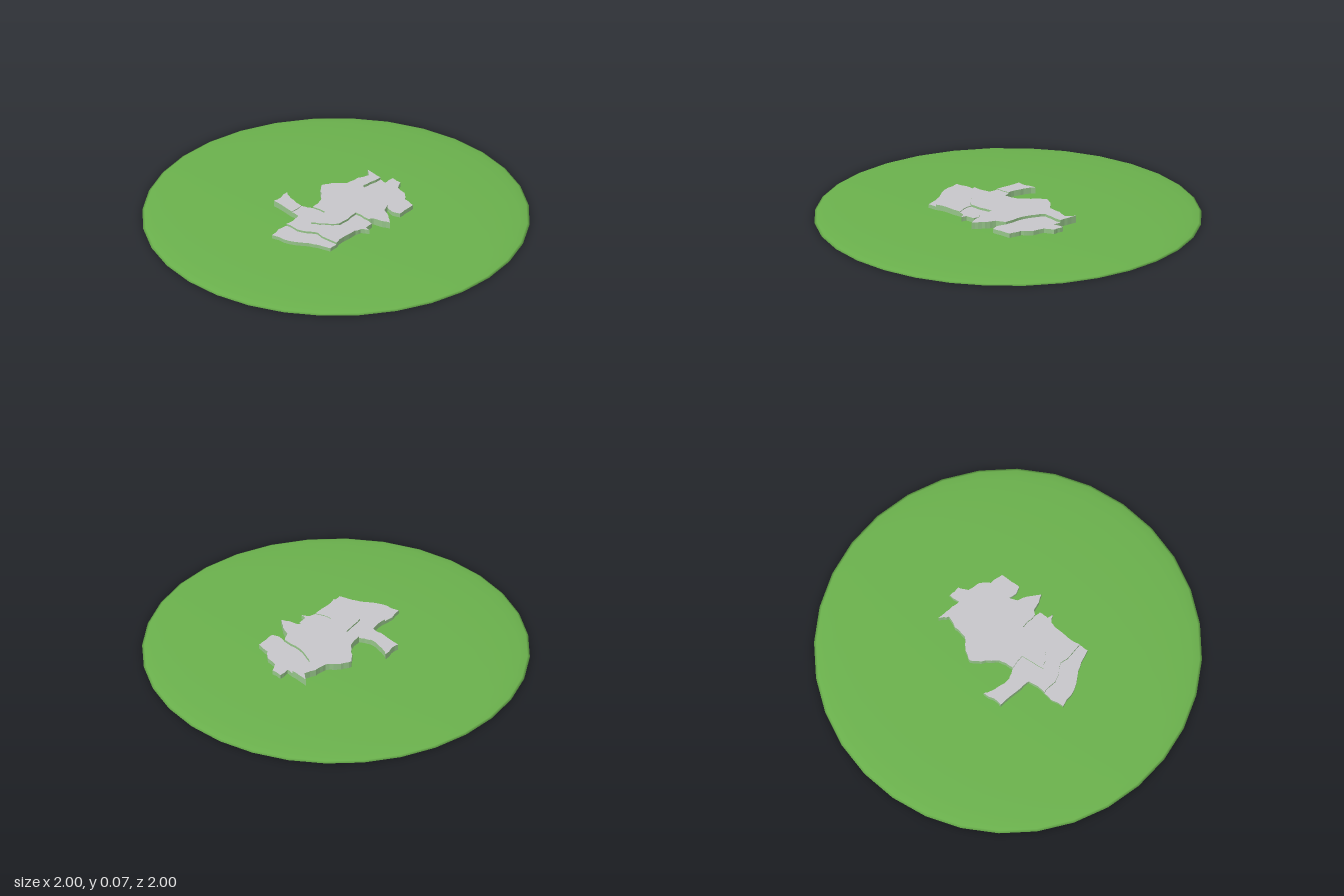
import * as THREE from 'three';

const mat = (name, color, side = THREE.FrontSide) => {
  const m = new THREE.MeshStandardMaterial({ color, side });
  m.name = name;
  return m;
};

// Outline of each district as [x, z] corners in hundredths, with its top height
const districts = [
  { name: 'westDistrict', top: 0.055, pts: [
    [-42, -9], [-30, -9], [-31, -1], [-27, 9], [-29, 23], [-34, 23], [-36, 14], [-40, 5]] },
  { name: 'midWestDistrict', top: 0.066, pts: [
    [-30, -9], [-20, -9], [-19, -14], [-11, -14], [-9, -8], [-9, 0], [-22, 1],
    [-18, 8], [-14, 13], [-13, 23], [-29, 23], [-27, 9], [-31, -1]] },
  { name: 'northDistrict', top: 0.07, pts: [
    [-19, -14], [-16, -28], [-5, -28], [-9, -21], [-11, -14]] },
  { name: 'centralDistrict', top: 0.074, pts: [
    [-9, -8], [-1, -9], [6, -15], [11, -18], [16, -15], [21, -9], [28, -8], [34, -5], [38, -9],
    [36, 1], [24, -1], [19, 7], [16, 21], [11, 23], [8, 28], [3, 33], [1, 24], [-1, 22],
    [0, 13], [-14, 13], [-18, 8], [-22, 1], [-9, 0]] },
  { name: 'southDistrict', top: 0.062, pts: [
    [-14, 13], [0, 13], [-1, 22], [-2, 25], [-7, 25], [-8, 28], [-10, 24], [-13, 23]] },
  { name: 'eastDistrict', top: 0.06, pts: [
    [24, -1], [36, 1], [35, 5], [41, 5], [40, 11], [35, 13], [33, 19], [28, 23],
    [26, 30], [15, 30], [14, 26], [16, 21], [19, 7]] },
];

// Roughens an outline; shared borders get identical offsets
const hash = (a, b) => {
  const s = Math.sin(a * 127.1 + b * 311.7) * 43.5;
  return s - Math.floor(s) - 0.5;
};
function roughen(pts) {
  return pts.flatMap(([x, z], i) => {
    const [u, v] = pts[(i + 1) % pts.length];
    const mx = (x + u) / 2, mz = (z + v) / 2;
    const k = Math.hypot(u - x, v - z) * 0.16;
    return [[x, z], [mx + hash(mx, mz) * k, mz + hash(mz, mx) * k]];
  });
}

export function createModel() {
  const model = new THREE.Group();
  const grass = mat('grassGreen', 0x6ab04c, THREE.DoubleSide);
  const stone = mat('lightGrey', 0xc6c5c9);
  const wall = mat('paleGreen', 0x96c489);
  const under = mat('black', 0x080808);
  const add = (parent, name, geometry, material) => {
    const mesh = new THREE.Mesh(geometry, material);
    mesh.name = name;
    parent.add(mesh);
  };

  // Shallow open dome of ground
  const dome = new THREE.SphereGeometry(1, 32, 10, 0, Math.PI * 2, 0, Math.PI / 2);
  dome.scale(1, 0.039, 1);
  add(model, 'groundDome', dome, grass);

  // Raised map districts, each a slab with a dark underside
  const base = 0.031;
  for (const { name, top, pts } of districts) {
    const group = new THREE.Group();
    group.name = name;
    const outline = roughen(roughen(pts)).map(([x, z]) => new THREE.Vector2(x / 100, -z / 100));
    const shape = new THREE.Shape(outline);

    const slab = new THREE.ExtrudeGeometry(shape, { depth: top - base, bevelEnabled: false });
    slab.rotateX(-Math.PI / 2).translate(0, base, 0);
    add(group, name + 'Slab', slab, [stone, wall]);

    // Mirrored outline turned the other way so that it faces down
    const flipped = new THREE.Shape(outline.map((p) => new THREE.Vector2(p.x, -p.y)));
    const plate = new THREE.ShapeGeometry(flipped);
    plate.rotateX(Math.PI / 2).translate(0, base - 0.001, 0);
    add(group, name + 'Underside', plate, under);
    model.add(group);
  }
  return model;
}
